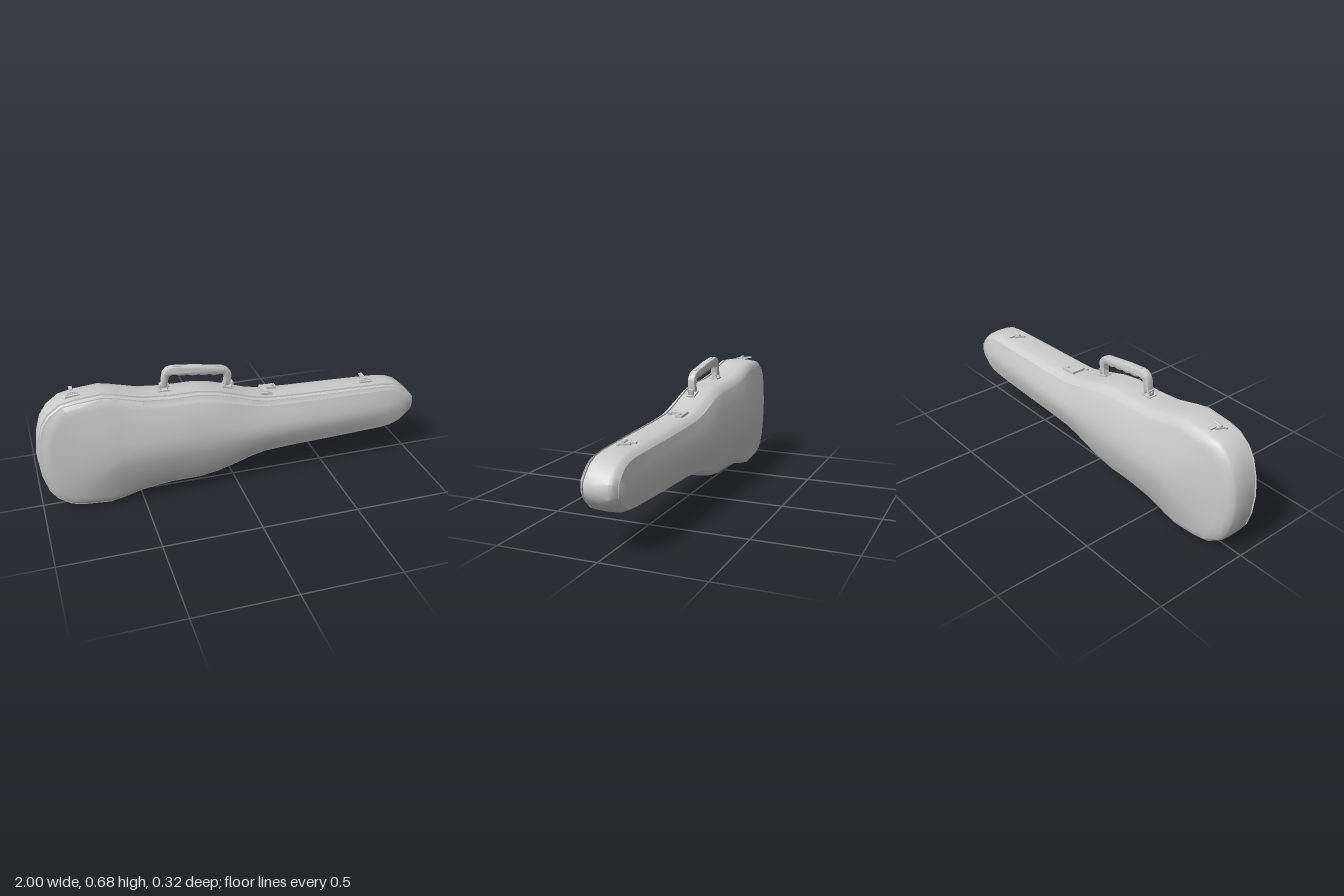
import * as THREE from 'three';
import { toCreasedNormals } from 'three/addons/utils/BufferGeometryUtils.js';

const mat = new THREE.MeshStandardMaterial({ color: 0xcccccc, side: THREE.DoubleSide });
const CY = 0.312; // height of the long axis

// Half outline: x and half height, from the neck end to the wide end
const OUTLINE = [
  [1, 0], [0.995, 0.035], [0.97, 0.065], [0.93, 0.102], [0.88, 0.124], [0.82, 0.133], [0.7, 0.138],
  [0.5, 0.144], [0.3, 0.15], [0.16, 0.158], [0.08, 0.175], [0, 0.202], [-0.1, 0.232], [-0.2, 0.248],
  [-0.35, 0.249], [-0.48, 0.262], [-0.6, 0.294], [-0.67, 0.308], [-0.8, 0.296], [-0.87, 0.281],
  [-0.93, 0.238], [-0.965, 0.185], [-0.99, 0.1], [-1, 0],
];
const CROWN = [[-0.6, 0.157], [-0.45, 0.16], [0, 0.146], [0.5, 0.13], [0.72, 0.122], [0.82, 0.113]];
const WALL = [[-1, 0.086], [-0.8, 0.098], [-0.5, 0.1], [0.5, 0.095], [1, 0.086]];

// Linear lookup in a table of [x, value]
function lookup(table, x) {
  if (x <= table[0][0]) return table[0][1];
  for (let i = 1; i < table.length; i++) {
    const [x0, v0] = table[i - 1], [x1, v1] = table[i];
    if (x <= x1) return v0 + (v1 - v0) * (x - x0) / (x1 - x0);
  }
  return table[table.length - 1][1];
}

// Closed rings between the back crest and the front crest
function shellGeometry() {
  const loop = [...OUTLINE, ...OUTLINE.slice(1, -1).reverse().map(([x, h]) => [x, -h])];
  // Rim rings: inset from the outline, z. Face rings: fraction from the spine, rise of the crown.
  const face = [[0.82, 0.12], [0.53, 0.52], [0.22, 0.92], [0, 1]];
  const rim = [[0.012, -0.08], [0.005, -0.055], [0, 0], [0.002, 0.052], [0.01, 0.054], [0.011, 0.064],
    [0.004, 0.066], [0.01, 0.082], [0.016, 0.083]];
  const rings = [
    ...face.map(([t, r]) => ({ t, r, s: -1 })).reverse(),
    { d: 0.034, r: 0, s: -1 },
    ...rim.map(([d, z]) => ({ d, z })),
    { d: 0.034, r: 0, s: 1 },
    ...face.map(([t, r]) => ({ t, r, s: 1 })),
  ];
  const pos = [], index = [], n = loop.length;
  for (const ring of rings) {
    for (const [x, h] of loop) {
      const sx = THREE.MathUtils.clamp(x, -0.6, 0.82);
      const t = ring.t ?? 1 - ring.d / Math.hypot(x - sx, h);
      const px = sx + (x - sx) * t, wall = lookup(WALL, x);
      const z = ring.z !== undefined
        ? ring.z * (Math.abs(ring.z) > 0.07 ? wall / 0.1 : 1)
        : ring.s * (wall + (lookup(CROWN, sx) - wall) * ring.r);
      pos.push(px, CY + h * t, z);
    }
  }
  for (let j = 0; j < rings.length - 1; j++) {
    for (let i = 0; i < n; i++) {
      const k = (i + 1) % n, a = j * n + i, b = j * n + k;
      index.push(a, b, b + n, a, b + n, a + n);
    }
  }
  const g = new THREE.BufferGeometry();
  g.setAttribute('position', new THREE.Float32BufferAttribute(pos, 3));
  g.setIndex(index);
  return toCreasedNormals(g, 0.6);
}

function add(parent, name, geometry, x = 0, y = 0, z = 0) {
  const m = new THREE.Mesh(geometry, mat);
  m.name = name;
  m.position.set(x, y, z);
  parent.add(m);
  return m;
}
const box = (w, h, d) => new THREE.BoxGeometry(w, h, d);

// Flat plate drawn in x and z, thickened upwards
function plate(points, height) {
  const s = new THREE.Shape(points.map(([x, z]) => new THREE.Vector2(x, -z)));
  return new THREE.ExtrudeGeometry(s, { depth: height, bevelEnabled: false }).rotateX(-Math.PI / 2);
}

// Carrying handle with finger bumps on the underside of the grip
function handleGeometry() {
  const s = new THREE.Shape();
  s.moveTo(-0.367, 0.585);
  s.lineTo(-0.36, 0.64);
  s.quadraticCurveTo(-0.35, 0.685, -0.305, 0.682);
  s.lineTo(-0.2, 0.671);
  s.lineTo(-0.055, 0.646);
  s.quadraticCurveTo(-0.015, 0.635, -0.013, 0.6);
  s.lineTo(-0.02, 0.55);
  s.lineTo(-0.045, 0.55);
  s.lineTo(-0.042, 0.595);
  s.quadraticCurveTo(-0.045, 0.613, -0.07, 0.618);
  for (let i = 0; i < 4; i++) {
    const x = -0.07 - i * 0.056, y = 0.618 + i * 0.007;
    s.quadraticCurveTo(x - 0.028, y - 0.009, x - 0.056, y + 0.007);
  }
  s.quadraticCurveTo(-0.33, 0.652, -0.335, 0.625);
  s.lineTo(-0.342, 0.585);
  const g = new THREE.ExtrudeGeometry(s, {
    depth: 0.024, bevelThickness: 0.007, bevelSize: 0.005, bevelOffset: -0.002, bevelSegments: 2, curveSegments: 5,
  });
  return toCreasedNormals(g.translate(0, 0, -0.012), 0.6);
}

// Plate, two cheeks and a pivot at the foot of the handle
function handleMount(x, y, tilt) {
  const g = new THREE.Group();
  g.name = 'handleMount';
  add(g, 'mountPlate', box(0.06, 0.008, 0.042));
  for (const side of [-1, 1]) {
    add(g, 'mountCheek', box(0.007, 0.034, 0.03), side * 0.018, 0.016);
    add(g, 'pivotCap', new THREE.CylinderGeometry(0.009, 0.009, 0.007, 8).rotateZ(Math.PI / 2), side * 0.024, 0.018);
  }
  g.position.set(x, y, 0);
  g.rotation.z = tilt;
  return g;
}

// Small draw catch used at both ends
function endCatch(x, y, tilt) {
  const g = new THREE.Group();
  g.name = 'endCatch';
  add(g, 'catchBase', box(0.07, 0.009, 0.012), 0, 0, 0.02);
  add(g, 'catchPlate', plate([[-0.03, 0.014], [0.03, 0.014], [0.012, -0.03], [-0.012, -0.03]], 0.01), 0, -0.002);
  add(g, 'catchLever', box(0.018, 0.008, 0.035), 0, 0.01, -0.04);
  add(g, 'catchBarrel', new THREE.CylinderGeometry(0.007, 0.007, 0.04, 8).rotateZ(Math.PI / 2), 0, 0.01, 0);
  g.position.set(x, y, 0);
  g.rotation.z = tilt;
  return g;
}

// Lock at the shoulder, with a side plate
function centreLock() {
  const g = new THREE.Group();
  g.name = 'centreLock';
  add(g, 'lockBase', box(0.064, 0.012, 0.014), -0.02, 0, 0.028);
  add(g, 'lockStem', box(0.03, 0.012, 0.08), -0.02, 0.003, -0.015);
  add(g, 'lockPlate', box(0.06, 0.012, 0.036), 0.02, 0.003, -0.038);
  add(g, 'lockButton', new THREE.CylinderGeometry(0.009, 0.009, 0.01, 10), 0.032, 0.011, -0.038);
  g.position.set(0.19, 0.473, 0);
  g.rotation.z = -0.05;
  return g;
}

export function createModel() {
  const model = new THREE.Group();
  model.name = 'instrumentCase';
  add(model, 'caseShell', shellGeometry());
  const handle = new THREE.Group();
  handle.name = 'handle';
  add(handle, 'handleGrip', handleGeometry());
  add(handle, 'handleRib', box(0.25, 0.006, 0.012), -0.18, 0.667).rotation.z = -0.145;
  handle.add(handleMount(-0.355, 0.565, 0), handleMount(-0.031, 0.534, -0.3));
  model.add(handle);
  model.add(endCatch(-0.8, 0.61, 0.09), endCatch(0.73, 0.452, -0.04), centreLock());
  return model;
}
